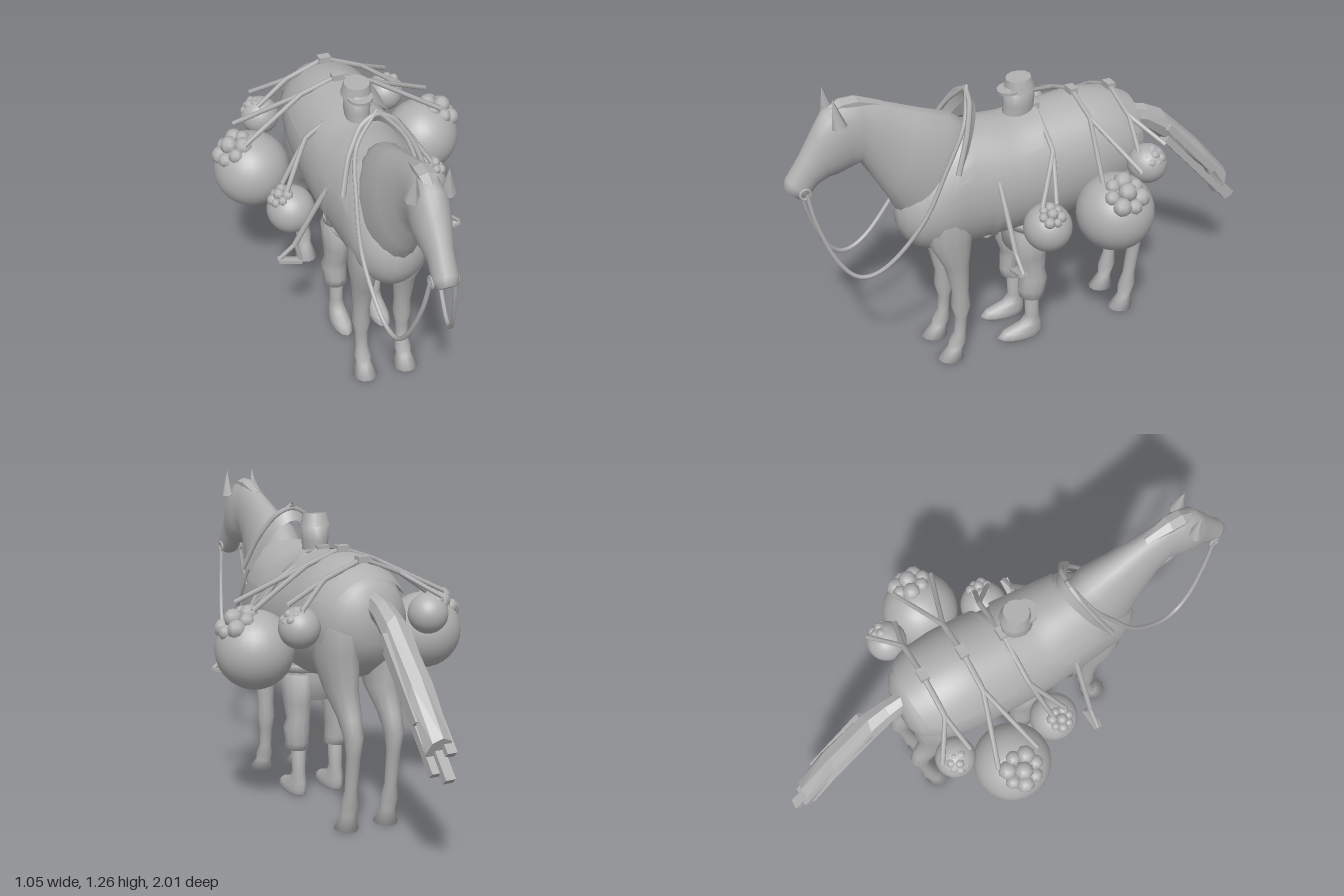
import * as THREE from 'three';
import { mergeVertices } from 'three/addons/utils/BufferGeometryUtils.js';

const grey = new THREE.MeshStandardMaterial({ color: 0xb0b0b0, side: THREE.DoubleSide });
grey.name = 'plain grey';
const V = (x, y, z) => new THREE.Vector3(x, y, z);

function add(parent, name, geo, pos) {
  const m = new THREE.Mesh(geo, grey);
  m.name = name;
  if (pos) m.position.set(...pos);
  parent.add(m);
  return m;
}

// Closed skin through rings [z1, y1, z2, y2, halfWidth, xCentre]: the two points are the ring's ends in side view
function loft(rings, n = 18, flat = false) {
  const pos = [], idx = [], R = rings.length;
  rings.forEach(([z1, y1, z2, y2, w, x = 0]) => {
    for (let i = 0; i < n; i++) {
      const a = (i / n) * Math.PI * 2, k = (1 - Math.cos(a)) / 2;
      pos.push(x + w * Math.sin(a), y1 + (y2 - y1) * k, z1 + (z2 - z1) * k);
    }
  });
  for (const [z1, y1, z2, y2, , x = 0] of [rings[0], rings[R - 1]]) pos.push(x, (y1 + y2) / 2, (z1 + z2) / 2);
  for (let r = 0; r < R - 1; r++) for (let i = 0; i < n; i++) {
    const a = r * n + i, b = r * n + (i + 1) % n;
    idx.push(a, b, a + n, b, b + n, a + n);
  }
  for (let i = 0; i < n; i++) {
    const j = (i + 1) % n, e = (R - 1) * n;
    idx.push(R * n, j, i, R * n + 1, e + i, e + j);
  }
  // turn the skin outward
  let vol = 0;
  const p = (i) => V(pos[i * 3], pos[i * 3 + 1], pos[i * 3 + 2]);
  for (let i = 0; i < idx.length; i += 3) vol += p(idx[i]).dot(p(idx[i + 1]).cross(p(idx[i + 2])));
  if (vol < 0) idx.reverse();
  let g = new THREE.BufferGeometry();
  g.setAttribute('position', new THREE.Float32BufferAttribute(pos, 3));
  g.setIndex(idx);
  if (flat) g = g.toNonIndexed();
  g.computeVertexNormals();
  return g;
}

// Open sheet from a rule of u and v
function sheet(fn, nu, nv) {
  const g = new THREE.PlaneGeometry(1, 1, nu, nv), P = g.attributes.position;
  for (let i = 0; i < P.count; i++) P.setXYZ(i, ...fn(P.getX(i) + 0.5, P.getY(i) + 0.5));
  g.deleteAttribute('uv');
  g.deleteAttribute('normal');
  const m = mergeVertices(g);
  m.computeVertexNormals();
  return m;
}

const cord = (pts, r, closed = false, tension = 0.3) => new THREE.TubeGeometry(
  new THREE.CatmullRomCurve3(pts.map((q) => V(...q)), closed, 'catmullrom', tension), 12 * pts.length, r, 6, closed);

// z, back height, belly height, half width of the trunk
const trunk = [
  [-0.48, 0.9, 0.74, 0.085], [-0.45, 0.97, 0.66, 0.14], [-0.36, 1.015, 0.59, 0.185], [-0.23, 1.035, 0.55, 0.2],
  [-0.05, 1.02, 0.525, 0.2], [0.1, 1.0, 0.52, 0.195], [0.2, 1.01, 0.515, 0.185], [0.34, 1.02, 0.505, 0.168],
  [0.45, 0.91, 0.515, 0.148], [0.51, 0.84, 0.545, 0.12], [0.55, 0.79, 0.59, 0.082], [0.57, 0.74, 0.64, 0.035]];

function trunkAt(z) {
  let i = 0;
  while (i < trunk.length - 2 && trunk[i + 1][0] < z) i++;
  const a = trunk[i], b = trunk[i + 1], k = (z - a[0]) / (b[0] - a[0]);
  return [1, 2, 3].map((c) => a[c] + (b[c] - a[c]) * k);
}

// Cloth hugging the trunk; z range at the back and at the hem, reach in radians from the top
const drape = (back, hem, reach, lift) => sheet((u, v) => {
  const a = (u * 2 - 1) * reach, s = Math.abs(u * 2 - 1) ** 2;
  const z0 = back[0] + (hem[0] - back[0]) * s, z1 = back[1] + (hem[1] - back[1]) * s;
  const z = z0 + (z1 - z0) * v, [t, b, w] = trunkAt(z);
  return [(w + lift) * Math.sin(a), (t + b) / 2 + ((t - b) / 2 + lift) * Math.cos(a), z];
}, 28, 8);

function makeHorse(root) {
  const horse = new THREE.Group();
  horse.name = 'horse';
  root.add(horse);
  add(horse, 'trunk', loft(trunk.map(([z, t, b, w]) => [z, t, z, b, w]), 28));
  add(horse, 'neckAndHead', loft([
    [0.2, 0.98, 0.4, 0.6, 0.1], [0.34, 1.085, 0.545, 0.66, 0.118], [0.46, 1.13, 0.605, 0.79, 0.09],
    [0.58, 1.18, 0.66, 0.89, 0.068], [0.69, 1.22, 0.7, 0.96, 0.06], [0.76, 1.225, 0.74, 0.95, 0.068],
    [0.825, 1.2, 0.79, 0.935, 0.071], [0.87, 1.13, 0.83, 0.93, 0.06], [0.925, 1.04, 0.87, 0.91, 0.046],
    [0.985, 0.955, 0.905, 0.875, 0.047], [0.998, 0.925, 0.94, 0.865, 0.036]]));
  add(horse, 'forelock', loft([[0.81, 1.205, 0.8, 1.16, 0.025], [0.76, 1.232, 0.75, 1.18, 0.036],
    [0.7, 1.232, 0.7, 1.18, 0.036], [0.6, 1.19, 0.6, 1.15, 0.02]], 6, true));
  for (const s of [1, -1]) {
    const ear = add(horse, 'ear', new THREE.ConeGeometry(0.03, 0.115, 6), [s * 0.062, 1.208, 0.795]);
    ear.rotation.set(0.15, 0, s * 0.05);
    const x = s * 0.087;
    add(horse, 'frontLeg', loft([
      [0.42, 0.78, 0.33, 0.78, 0.03, s * 0.1], [0.48, 0.68, 0.29, 0.68, 0.05, s * 0.1],
      [0.475, 0.57, 0.3, 0.55, 0.054, s * 0.097], [0.415, 0.45, 0.31, 0.45, 0.045, x],
      [0.385, 0.32, 0.315, 0.32, 0.034, x], [0.39, 0.25, 0.308, 0.25, 0.037, x], [0.375, 0.19, 0.325, 0.19, 0.027, x],
      [0.38, 0.12, 0.332, 0.12, 0.025, x], [0.405, 0.075, 0.332, 0.075, 0.034, x], [0.41, 0.05, 0.348, 0.045, 0.03, x],
      [0.455, 0.004, 0.345, 0, 0.05, x]], 12));
    add(horse, 'hindLeg', loft([
      [-0.27, 0.88, -0.45, 0.88, 0.055, s * 0.1], [-0.21, 0.78, -0.468, 0.79, 0.078, s * 0.1],
      [-0.2, 0.66, -0.468, 0.7, 0.08, s * 0.1], [-0.26, 0.54, -0.45, 0.56, 0.06, x],
      [-0.36, 0.45, -0.488, 0.46, 0.042, x], [-0.415, 0.38, -0.508, 0.39, 0.036, x], [-0.432, 0.31, -0.488, 0.31, 0.028, x],
      [-0.415, 0.17, -0.468, 0.17, 0.024, x], [-0.395, 0.11, -0.468, 0.11, 0.034, x], [-0.395, 0.06, -0.448, 0.06, 0.03, x],
      [-0.35, 0.004, -0.455, 0, 0.048, x]], 12));
  }
  // Tail: bundled hair with ragged flat strands at the end
  add(horse, 'tail', loft([
    [-0.42, 0.95, -0.45, 0.84, 0.035], [-0.53, 0.92, -0.53, 0.81, 0.045], [-0.61, 0.88, -0.66, 0.71, 0.055],
    [-0.8, 0.695, -0.84, 0.54, 0.06], [-0.955, 0.515, -0.905, 0.4, 0.055]], 8, true));
  [[-0.03, 0.035, 0.5], [0, 0, 0.56], [0.03, -0.03, 0.5], [0.045, 0.03, 0.36]].forEach(([x, dy, len]) => {
    const strand = add(horse, 'tailStrand', new THREE.BoxGeometry(0.04, 0.03, len), [x, 0.6 + dy, -0.79]);
    strand.rotation.x = -0.83;
    strand.position.y += (0.5 - len) * 0.37;
    strand.position.z += (0.5 - len) * 0.34;
  });
}

// Point on the saddle's raised arch, t from -1 to 1, k inward from the rim
function archPoint(t, k) {
  const a = t * 1.5, c = Math.cos(a);
  return [(0.172 - k * 0.6) * (Math.sin(a) + t) / 2, 0.88 + (0.28 - k) * c, 0.385 - 0.12 * c - k * 0.6];
}

function makeTack(root) {
  const tack = new THREE.Group();
  tack.name = 'tack';
  root.add(tack);
  add(tack, 'saddleFlap', drape([0.02, 0.3], [0.17, 0.4], 1.2, 0.012));
  add(tack, 'saddleSeat', drape([-0.02, 0.24], [0.02, 0.3], 0.9, 0.02));
  add(tack, 'rumpCloth', drape([-0.445, -0.04], [-0.42, -0.06], 1.15, 0.016));
  add(tack, 'girth', drape([0.195, 0.225], [0.195, 0.225], Math.PI, 0.009));
  add(tack, 'saddleArch', sheet((u, v) => archPoint(u * 2 - 1, v * 0.05), 24, 2));
  add(tack, 'archRim', cord([-1, -0.67, -0.33, 0, 0.33, 0.67, 1].map((t) => archPoint(t, 0)), 0.011));
  const half = [[0.045, 0.9, 0.925], [0.06, 0.76, 0.9], [0.085, 0.6, 0.84], [0.105, 0.52, 0.76],
    [0.125, 0.56, 0.65], [0.142, 0.72, 0.51], [0.13, 0.9, 0.41], [0.1, 1.06, 0.32]];
  for (const s of [1, -1]) {
    add(tack, 'rein', cord([...half.map(([x, y, z]) => [s * x, y, z]), [0, 1.175, 0.26]], 0.009, false, 0.5));
    const bit = add(tack, 'bitRing', new THREE.TorusGeometry(0.02, 0.006, 6, 14), [s * 0.046, 0.9, 0.93]);
    bit.rotation.y = Math.PI / 2;
    add(tack, 'stirrupStrap', cord([[s * 0.17, 0.84, 0.21], [s * 0.24, 0.72, 0.21], [s * 0.315, 0.585, 0.21]], 0.011));
    add(tack, 'stirrup', cord([[s * 0.31, 0.59, 0.21], [s * 0.38, 0.53, 0.21], [s * 0.29, 0.505, 0.21]], 0.009, true, 0.02));
    add(tack, 'stirrupTread', new THREE.BoxGeometry(0.095, 0.012, 0.035), [s * 0.335, 0.515, 0.21]).rotation.z = s * 0.27;
  }
}

function makeRider(root) {
  const rider = new THREE.Group();
  rider.name = 'standingFigure';
  root.add(rider);
  add(rider, 'torso', loft([[0.1, 1.01, -0.02, 1.01, 0.06], [0.12, 0.95, -0.03, 0.95, 0.14], [0.11, 0.56, -0.035, 0.56, 0.13],
    [0.115, 0.5, -0.035, 0.5, 0.135], [0.105, 0.41, -0.03, 0.41, 0.11]]));
  add(rider, 'belt', loft([[0.12, 0.56, -0.04, 0.56, 0.14], [0.12, 0.53, -0.04, 0.53, 0.14]]));
  add(rider, 'head', loft([[0.11, 0.97, -0.01, 0.98, 0.045], [0.11, 1.01, -0.015, 1.02, 0.047], [0.105, 1.06, -0.02, 1.06, 0.052],
    [0.1, 1.13, -0.02, 1.12, 0.052]], 14));
  add(rider, 'cap', new THREE.CylinderGeometry(0.05, 0.062, 0.05, 12), [0, 1.14, 0.04]).rotation.x = 0.1;
  add(rider, 'capBrim', new THREE.CylinderGeometry(0.05, 0.05, 0.012, 12), [0, 1.12, 0.08]).rotation.x = 0.1;
  for (const s of [1, -1]) {
    const x = s * 0.085;
    add(rider, 'trouserLeg', loft([[0.115, 0.52, -0.035, 0.52, 0.065, x], [0.11, 0.4, -0.035, 0.4, 0.055, x],
      [0.085, 0.33, -0.03, 0.33, 0.047, x], [0.085, 0.295, -0.035, 0.29, 0.053, s * 0.094],
      [0.09, 0.24, -0.03, 0.23, 0.046, s * 0.09], [0.085, 0.205, -0.02, 0.2, 0.052, s * 0.09],
      [0.06, 0.2, -0.005, 0.2, 0.03, x]], 10));
    add(rider, 'bareFoot', loft([[0.06, 0.21, 0, 0.21, 0.03, x], [0.055, 0.1, -0.005, 0.1, 0.027, x],
      [0.08, 0.065, -0.015, 0.055, 0.032, x], [0.16, 0.04, -0.018, 0.025, 0.04, x], [0.185, 0.02, -0.015, 0.005, 0.042, x],
      [0.17, 0, -0.01, 0, 0.036, x]], 12));
  }
}

// Round bag with a gathered mouth of lumps and two straps up to the horse's back
function makeBag(root, s, name, c, r, mouth, lump, spread, apex, shoulder) {
  const bag = new THREE.Group();
  bag.name = name;
  root.add(bag);
  const at = (p) => [s * p[0], p[1], p[2]];
  add(bag, 'sack', new THREE.SphereGeometry(r, 28, 20), at(c));
  const axis = V(...at(mouth)).sub(V(...at(c))).normalize();
  const side = V(0, 0, 1), up = axis.clone().cross(side).normalize();
  for (let i = 0; i < 8; i++) {
    const ring = i < 7 ? 1 : 0, a = (i / 7) * Math.PI * 2;
    const p = V(...at(mouth)).addScaledVector(side, ring * lump * 1.6 * Math.cos(a))
      .addScaledVector(up, ring * lump * 1.6 * Math.sin(a)).addScaledVector(axis, ring ? -lump * 0.3 : lump * 0.3);
    add(bag, 'gatheredLump', new THREE.SphereGeometry(lump * (0.85 + 0.2 * (i % 2)), 8, 6), p.toArray());
  }
  for (const d of [1, -1]) {
    const end = [mouth[0] - lump, mouth[1] + lump * 1.4, mouth[2] + d * spread];
    add(bag, 'bagStrap', cord([apex, shoulder, end].map(at), 0.01, false, 0.15));
  }
}

export function createModel() {
  const root = new THREE.Group();
  root.name = 'packHorse';
  makeHorse(root);
  makeTack(root);
  makeRider(root);
  for (const s of [1, -1]) {
    makeBag(root, s, 'largeBag', [0.37, 0.7, -0.19], 0.153, [0.45, 0.82, -0.19], 0.036, 0.085, [0, 1.06, -0.19], [0.15, 1.005, -0.19]);
    makeBag(root, s, 'frontBag', [0.28, 0.645, 0.055], 0.096, [0.325, 0.725, 0.06], 0.022, 0.03, [0, 1.04, -0.02], [0.19, 0.92, -0.01]);
    makeBag(root, s, 'rearBag', [0.275, 0.815, -0.385], 0.079, [0.315, 0.865, -0.39], 0.019, 0.06, [0, 1.045, -0.36], [0.16, 0.98, -0.36]);
  }
  for (const [y, z] of [[1.06, -0.19], [1.045, -0.36], [1.035, -0.02]])
    add(root, 'strapBuckle', new THREE.BoxGeometry(0.05, 0.025, 0.035), [0, y, z]);
  return root;
}
